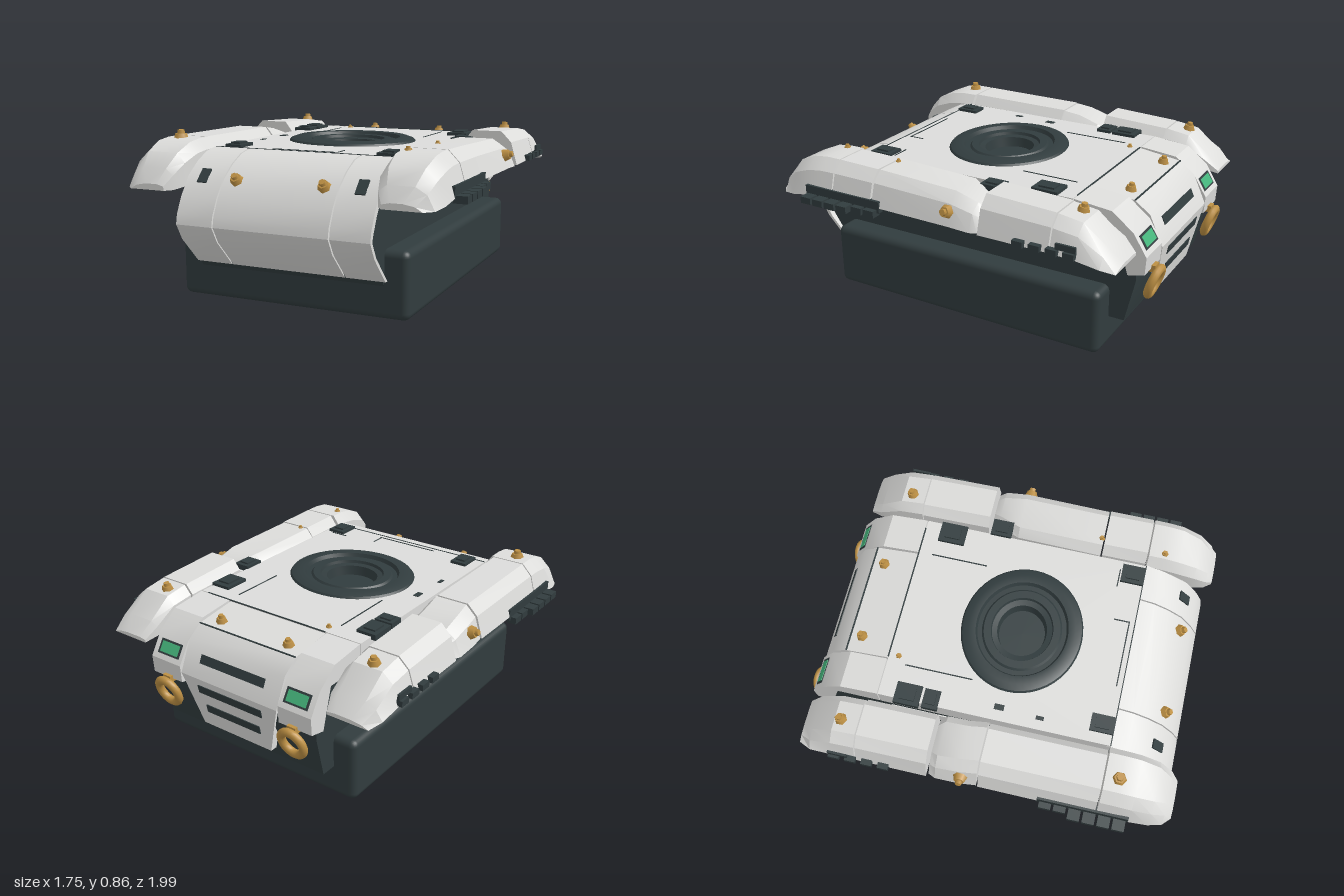
import * as THREE from 'three';
import { toCreasedNormals } from 'three/addons/utils/BufferGeometryUtils.js';
import { RoundedBoxGeometry } from 'three/addons/geometries/RoundedBoxGeometry.js';

const material = (name, color) => {
  const m = new THREE.MeshStandardMaterial({ color });
  m.name = name;
  return m;
};

export function createModel() {
  const white = material('white armour', 0xdcdcda);
  const dark = material('dark metal', 0x313c3e);
  const ochre = material('ochre metal', 0xbd9044);
  const green = material('green lamp', 0x45b57c);
  const model = new THREE.Group();

  const add = (name, geometry, mat, x = 0, y = 0, z = 0, rx = 0, rz = 0) => {
    const mesh = new THREE.Mesh(geometry, mat);
    mesh.name = name;
    mesh.position.set(x, y, z);
    mesh.rotation.set(rx, 0, rz);
    model.add(mesh);
    return mesh;
  };
  const box = (name, mat, w, h, d, x, y, z, rx = 0, rz = 0) =>
    add(name, new THREE.BoxGeometry(w, h, d), mat, x, y, z, rx, rz);

  // Side outline of [z, y] points, extruded from x0 to x1
  const extrudeX = (points, x0, x1) => {
    const shape = new THREE.Shape(points.map(([z, y]) => new THREE.Vector2(z, y)));
    const g = new THREE.ExtrudeGeometry(shape, { depth: x1 - x0, bevelEnabled: false });
    return toCreasedNormals(g.rotateY(-Math.PI / 2).translate(x1, 0, 0), 0.5);
  };

  // Armoured fender lofted front to back through [z, top, bottom, inner x, outer x]
  const fender = (stations, side) => {
    const loops = stations.map(([z, t, b, i, o]) => {
      const h = t - b;
      const loop = [[i, b], [i, t - h * 0.3], [i + 0.04, t], [o - 0.09, t],
        [o - 0.035, t - h * 0.32], [o, b]].map(([x, y]) => [x * side, y, z]);
      return side > 0 ? loop : loop.reverse();
    });
    const p = [], n = loops[0].length, last = loops.length - 1;
    for (let k = 0; k < last; k++) {
      for (let i = 0; i < n; i++) {
        const j = (i + 1) % n, A = loops[k], B = loops[k + 1];
        p.push(...A[i], ...A[j], ...B[j], ...A[i], ...B[j], ...B[i]);
      }
    }
    for (let i = 1; i < n - 1; i++) {
      p.push(...loops[0][0], ...loops[0][i + 1], ...loops[0][i]);
      p.push(...loops[last][0], ...loops[last][i], ...loops[last][i + 1]);
    }
    const g = new THREE.BufferGeometry();
    g.setAttribute('position', new THREE.Float32BufferAttribute(p, 3));
    return toCreasedNormals(g, 0.45);
  };

  const bolt = (x, y, z, rx = 0, rz = 0, s = 1) => {
    const base = add('bolt', new THREE.CylinderGeometry(0.026 * s, 0.036 * s, 0.03 * s, 6), ochre, x, y, z, rx, rz);
    base.material.flatShading = false;
    const cap = new THREE.Mesh(new THREE.CylinderGeometry(0.016 * s, 0.018 * s, 0.02 * s, 6), ochre);
    cap.name = 'boltCap';
    cap.position.y = 0.022 * s;
    base.add(cap);
  };

  // Base block and hull
  add('baseBlock', new RoundedBoxGeometry(1.22, 0.33, 1.55, 3, 0.035), dark, 0, 0.205, 0.005);
  box('drainPlug', dark, 0.01, 0.05, 0.01, 0, 0.025, -0.13);
  add('hull', extrudeX([[0.66, 0.66], [0.84, 0.63], [0.91, 0.56], [0.955, 0.46], [0.78, 0.2],
    [-0.85, 0.2], [-0.9, 0.42], [-0.9, 0.58], [-0.8, 0.66]], -0.49, 0.49), dark);

  // Deck with a round opening
  const deck = new THREE.Shape([[-0.5, -0.62], [0.5, -0.62], [0.5, 0.57], [-0.5, 0.57]]
    .map(([x, y]) => new THREE.Vector2(x, y)));
  deck.holes.push(new THREE.Path().absellipse(0, -0.06, 0.28, 0.26, 0, Math.PI * 2, true));
  add('deck', new THREE.ExtrudeGeometry(deck, { depth: 0.115, bevelEnabled: false, curveSegments: 32 })
    .rotateX(-Math.PI / 2), white, 0, 0.66, 0);

  // Turret ring with stepped well
  const ring = [[0, 0.715], [0.13, 0.715], [0.14, 0.765], [0.17, 0.77], [0.175, 0.785], [0.215, 0.785],
    [0.225, 0.775], [0.25, 0.775], [0.26, 0.795], [0.3, 0.797], [0.335, 0.785], [0.347, 0.77]];
  const ringGeometry = toCreasedNormals(new THREE.LatheGeometry(
    ring.map(([r, y]) => new THREE.Vector2(r, y)).reverse(), 48), 0.4);
  // The profile runs inward, so its faces are turned to point up
  const turret = add('turretRing', ringGeometry, dark.clone(), 0, 0, 0.06);
  turret.material = dark;
  dark.side = THREE.DoubleSide;
  turret.scale.z = 0.915;

  // Curved front plates in three strips
  const front = [[0.622, 0.775], [0.7, 0.76], [0.78, 0.72], [0.86, 0.66], [0.925, 0.57],
    [0.965, 0.49], [0.975, 0.44], [0.93, 0.36], [0.8, 0.225]];
  const frontInner = front.map(([z, y]) => [z - 0.022, y - (y > 0.45 ? 0.02 : 0)]).reverse();
  for (const [a, b] of [[-0.505, -0.307], [-0.3, 0.3], [0.307, 0.505]]) {
    add('frontPlate', extrudeX([...front, ...frontInner], a, b), white);
  }
  // Rear centre panel, narrowing towards the bottom
  const rear = extrudeX([[-0.575, 0.66], [-0.575, 0.77], [-0.8, 0.74], [-0.88, 0.68], [-0.95, 0.53],
    [-0.9, 0.25], [-0.85, 0.25], [-0.86, 0.5], [-0.8, 0.66]].reverse(), -0.3, 0.3);
  const rp = rear.attributes.position;
  for (let i = 0; i < rp.count; i++) {
    if (rp.getY(i) < 0.4) rp.setX(i, rp.getX(i) * 0.72);
  }
  add('rearPanel', rear, white);
  for (const [y, z, a, w] of [[0.62, -0.908, 0.43, 0.4], [0.47, -0.939, -0.18, 0.4], [0.36, -0.92, -0.18, 0.34]]) {
    box('rearSlot', dark, w, 0.045, 0.008, 0, y, z, a);
  }
  box('rearSeam', dark, 0.6, 0.004, 0.008, 0, 0.742, -0.8);

  for (const s of [-1, 1]) {
    // Rear corner blocks, lamps and tow rings
    const [a, b] = s < 0 ? [-0.5, -0.308] : [0.308, 0.5];
    add('rearCorner', extrudeX([[-0.575, 0.66], [-0.575, 0.775], [-0.77, 0.755], [-0.88, 0.67], [-0.95, 0.56],
      [-0.945, 0.47], [-0.86, 0.45], [-0.8, 0.66]].reverse(), a, b), white);
    box('lampFrame', dark, 0.14, 0.075, 0.006, s * 0.4, 0.615, -0.915, 0.57);
    box('lamp', green, 0.115, 0.055, 0.009, s * 0.4, 0.615, -0.916, 0.57);
    const tow = add('towRing', new THREE.TorusGeometry(0.063, 0.021, 10, 24), ochre, s * 0.395, 0.395, -0.957, -0.3);
    tow.scale.y = 1.12;
    box('towMount', ochre, 0.05, 0.035, 0.06, s * 0.395, 0.47, -0.935);

    // Front vents and bolts
    box('frontVent', dark, 0.05, 0.008, 0.08, s * 0.415, 0.665, 0.857, 0.8);
    bolt(s * 0.23, 0.66, 0.868, 0.8);
    bolt(s * 0.21, 0.76, -0.74, -0.13, 0, 0.85);
    bolt(s * 0.815, 0.72, -0.07, 0, -s * 1.3);

    // Pale panel on the hull side
    const [c, d] = s < 0 ? [-0.496, -0.489] : [0.489, 0.496];
    add('hullSidePanel', extrudeX([[0.37, 0.6], [0.37, 0.565], [0.24, 0.565], [0.24, 0.52], [-0.44, 0.52],
      [-0.46, 0.55], [-0.52, 0.57], [-0.52, 0.6]].reverse(), c, d), white);

    // Fender segments
    const inner = s < 0 ? 0.505 : 0.5;
    add('fenderNose', fender([[0.99, 0.63, 0.6, 0.56, 0.75], [0.95, 0.7, 0.6, 0.53, 0.79], [0.88, 0.77, 0.61, 0.51, 0.81],
      [0.78, 0.812, 0.63, inner, 0.82], [0.7, 0.822, 0.64, inner, 0.82], [0.62, 0.822, 0.645, inner, 0.82]], s), white);
    const split = s < 0 ? 0.01 : 0.37;
    add('fenderMiddle', fender([[0.612, 0.822, 0.645, inner + 0.015, 0.82],
      [split + 0.008, 0.816, 0.65, inner + 0.015, 0.82]], s), white);
    add('fenderMiddleRear', fender([[split, 0.814, 0.65, inner + 0.01, 0.815], [-0.08, 0.8, 0.65, inner + 0.02, 0.825],
      [-0.2, 0.765, 0.645, s < 0 ? 0.52 : 0.58, 0.825], [-0.235, 0.74, 0.645, s < 0 ? 0.54 : 0.6, 0.81]], s), white);
    add('fenderRear', fender([[-0.245, 0.822, 0.645, 0.535, 0.825], [-0.61, 0.805, 0.645, 0.535, 0.825]], s), white);
    add('fenderTail', fender([[-0.617, 0.803, 0.645, 0.54, 0.825], [-0.74, 0.785, 0.64, 0.54, 0.825],
      [-0.86, 0.69, 0.62, 0.545, 0.82], [-0.925, 0.62, 0.6, 0.57, 0.79]], s), white);
    add('underBoltDisc', new THREE.CylinderGeometry(0.07, 0.07, 0.006, 20), ochre, s * 0.66, 0.636, 0.7);

    // Dark running gear along the fender edge
    box('fenderTrim', dark, 0.03, 0.06, 0.46, s * 0.805, 0.655, 0.55);
    for (let i = 0; i < 6; i++) {
      const w = i < 4 ? 0.07 : 0.05;
      box('trackPad', dark, w, 0.035, 0.062, s * (i < 4 ? 0.84 : 0.825), 0.625, 0.74 - i * 0.075);
    }
    for (let i = 0; i < 4; i++) box('rearPad', dark, 0.03, 0.03, 0.055, s * 0.83, 0.66, -0.72 + i * 0.085);
    box('rearPadTop', dark, 0.012, 0.03, 0.1, s * 0.826, 0.69, -0.7);
  }

  // Dark deck hatches: x, z, width, depth
  for (const [x, z, w, d] of [[-0.47, -0.42, 0.11, 0.13], [-0.47, -0.3, 0.1, 0.08], [0.45, -0.42, 0.11, 0.14],
    [0.54, -0.17, 0.09, 0.11], [-0.4, 0.56, 0.09, 0.12], [0.43, 0.56, 0.1, 0.12]]) {
    box('hatch', dark, w, 0.03, d, x, 0.775, z);
    box('hatchLid', dark, w * 0.6, 0.012, d * 0.6, x, 0.793, z);
  }
  // Bolts on the fender tops
  for (const [x, y, z, rx, size] of [[-0.66, 0.825, 0.69, 0, 1.1], [-0.67, 0.8, -0.71, -0.15, 0.95],
    [0.63, 0.8, -0.69, -0.15, 0.95], [0.57, 0.82, 0.7, 0, 0.6], [0.59, 0.812, 0.36, 0, 0.5], [-0.28, 0.775, -0.52, 0, 0.5]]) {
    bolt(x, y, z, rx, 0, size);
  }
  // Thin panel seams on the deck
  for (const [x, z, w, d] of [[0.08, -0.572, 0.75, 0.007], [-0.01, 0.59, 0.36, 0.006], [0.165, 0.55, 0.006, 0.08],
    [-0.32, -0.3, 0.006, 0.35], [0.31, -0.35, 0.006, 0.3], [-0.44, 0.25, 0.02, 0.04], [-0.43, 0.04, 0.03, 0.05],
    [0.4, 0.49, 0.1, 0.006], [0, 0.62, 1, 0.005]]) {
    box('deckSeam', dark, w, 0.004, d, x, 0.7755, z);
  }
  return model;
}
